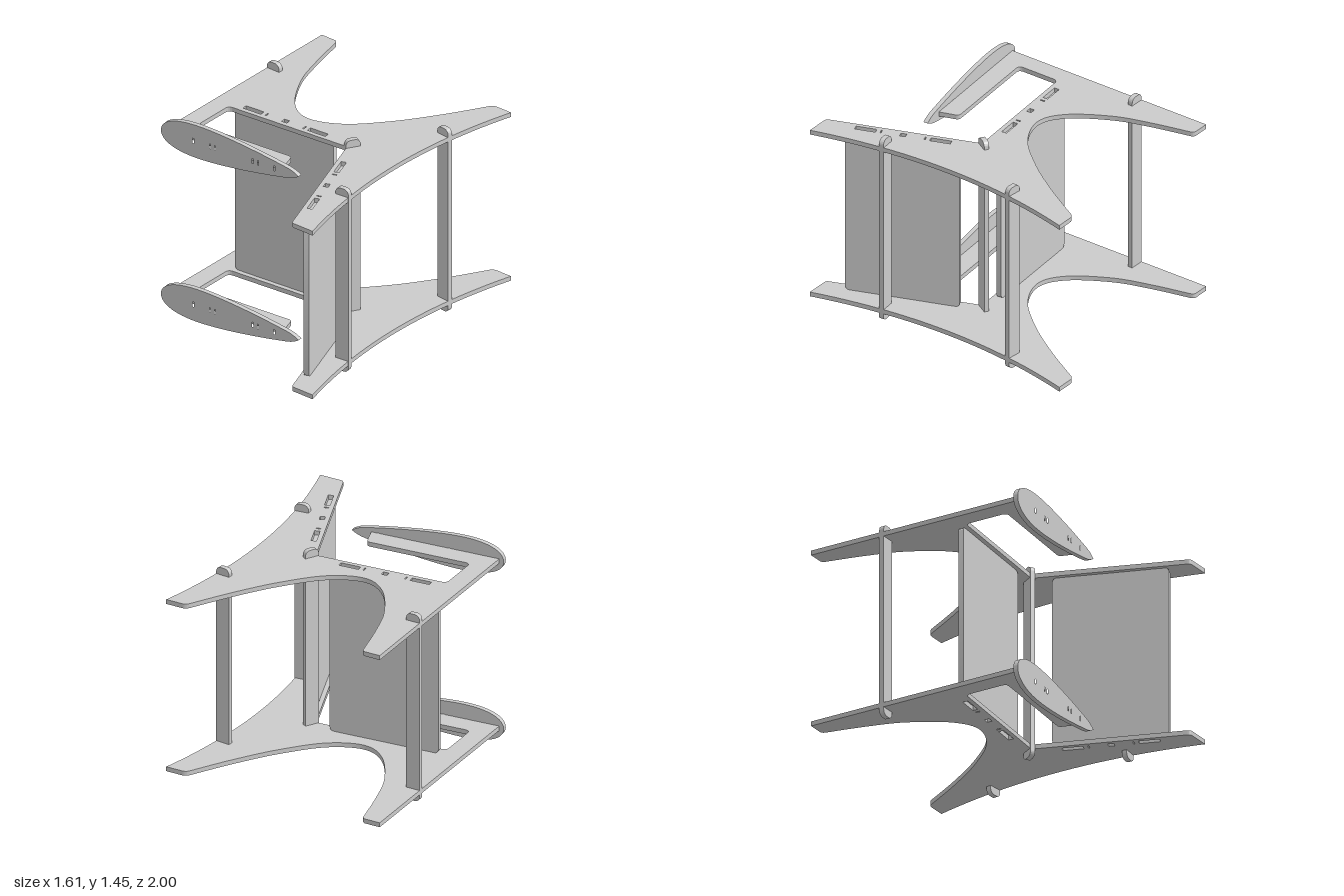
import * as THREE from 'three';
import { toCreasedNormals } from 'three/addons/utils/BufferGeometryUtils.js';

const T = 0.032; // board thickness
const MID = 0.73; // middle height
const material = new THREE.MeshStandardMaterial({ color: 0xcccccc });

// Extrude a shape, centred on its thickness
function board(shape, thickness = T) {
  const g = new THREE.ExtrudeGeometry(shape, { depth: thickness, bevelEnabled: false, curveSegments: 24 });
  g.translate(0, 0, -thickness / 2);
  return toCreasedNormals(g, 0.5);
}

function addPart(group, name, geometry, x, y, z, turn = 0) {
  const mesh = new THREE.Mesh(geometry, material);
  mesh.name = name;
  mesh.position.set(x, y, z);
  mesh.rotation.y = turn;
  group.add(mesh);
}

function roundedRect(w, h, r) {
  const s = new THREE.Shape();
  const a = w / 2 - r, b = h / 2 - r;
  s.absarc(a, b, r, 0, Math.PI / 2);
  s.absarc(-a, b, r, Math.PI / 2, Math.PI);
  s.absarc(-a, -b, r, Math.PI, Math.PI * 1.5);
  s.absarc(a, -b, r, Math.PI * 1.5, Math.PI * 2);
  s.closePath();
  return s;
}

// Rectangular hole of length l and width w, turned by an angle
function slot(x, y, l, w, angle = 0) {
  const c = Math.cos(angle), s = Math.sin(angle);
  const corners = [[-1, -1], [-1, 1], [1, 1], [1, -1]].map(([i, j]) => {
    const u = i * l / 2, v = j * w / 2;
    return new THREE.Vector2(x + u * c - v * s, y + u * s + v * c);
  });
  return new THREE.Path(corners);
}

// Joint slots along a panel's line: two long, one square, two narrow
function jointSlots(shape, x, y, angle) {
  const row = [[-0.252, 0.14, 0.036], [0.252, 0.14, 0.036], [0, 0.04, 0.034], [-0.148, 0.009, 0.032], [0.148, 0.009, 0.032]];
  for (const [d, l, w] of row) {
    shape.holes.push(slot(x + d * Math.cos(angle), y + d * Math.sin(angle), l, w, angle));
  }
}

// Side frame drawn in x and z, with legs, back post and arm support
function sideFrameShape() {
  const s = new THREE.Shape();
  const v = (x, y) => new THREE.Vector2(x, y);
  s.moveTo(-0.775, -1);
  s.lineTo(-0.67, -1);
  s.quadraticCurveTo(-0.645, -1, -0.639, -0.97);
  s.splineThru([v(-0.58, -0.71), v(-0.5, -0.46), v(-0.34, -0.205), v(-0.16, -0.11), v(0.07, -0.2), v(0.29, -0.43), v(0.48, -0.7), v(0.645, -0.975)]);
  s.quadraticCurveTo(0.66, -1, 0.69, -1);
  s.lineTo(0.805, -1);
  s.quadraticCurveTo(0.529, 0, 0.805, 1);
  s.lineTo(0.65, 1);
  s.quadraticCurveTo(0.63, 1, 0.622, 0.975);
  s.lineTo(0.285, 0.04);
  s.quadraticCurveTo(0.278, 0.013, 0.25, 0.016);
  s.lineTo(-0.61, 0.092);
  s.quadraticCurveTo(-0.645, 0.095, -0.645, 0.13);
  s.lineTo(-0.645, 0.365);
  s.quadraticCurveTo(-0.645, 0.403, -0.61, 0.4);
  s.lineTo(0.06, 0.342);
  s.quadraticCurveTo(0.084, 0.34, 0.092, 0.362);
  s.lineTo(0.127, 0.475);
  s.lineTo(-0.775, 0.555);
  s.closePath();
  jointSlots(s, -0.24, 0.01, -0.085);
  jointSlots(s, 0.495, 0.483, 1.227);
  return s;
}

// Teardrop armrest with narrow joint gaps
function armShape() {
  const s = new THREE.Shape();
  s.moveTo(-0.537, 0);
  s.bezierCurveTo(-0.537, 0.075, -0.43, 0.12, -0.25, 0.12);
  s.bezierCurveTo(-0.05, 0.12, 0.25, 0.075, 0.45, 0.037);
  s.quadraticCurveTo(0.5, 0.026, 0.537, 0);
  s.quadraticCurveTo(0.5, -0.026, 0.45, -0.037);
  s.bezierCurveTo(0.25, -0.075, -0.05, -0.12, -0.25, -0.12);
  s.bezierCurveTo(-0.43, -0.12, -0.537, -0.075, -0.537, 0);
  for (const u of [-0.285, -0.155, -0.115, 0.18, 0.22, 0.348]) s.holes.push(slot(u, 0, 0.009, 0.035));
  return s;
}

export function createModel() {
  const group = new THREE.Group();
  group.name = 'chair';

  // Two side frames, each with an armrest
  const frame = board(sideFrameShape());
  frame.rotateX(Math.PI / 2);
  const arm = board(armShape());
  for (const [side, sign] of [['lower', -1], ['upper', 1]]) {
    const y = MID + sign * 0.606;
    addPart(group, side + 'SideFrame', frame, 0, y, 0);
    addPart(group, side + 'Armrest', arm, -0.27, y, 0.523, 0.089);
  }

  // Backrest and seat panels between the frames
  const panel = board(roundedRect(0.77, 1.182, 0.03), 0.035);
  addPart(group, 'backrestPanel', panel, -0.24, MID, 0.01, 0.085);
  addPart(group, 'seatPanel', panel, 0.495, MID, 0.483, -1.227);

  // Cross bars passing through both frames
  const bar = board(roundedRect(0.1, 1.35, 0.036), 0.034);
  const bars = [
    ['backCrossBar', -0.725, -0.465, 0],
    ['rearLegCrossBar', 0.655, -0.512, -0.1],
    ['frontLegCrossBar', 0.655, 0.508, 0.1],
    ['centreCrossBar', 0.296, -0.015, 1.04],
  ];
  for (const [name, x, z, turn] of bars) addPart(group, name, bar, x, MID, z, turn);

  return group;
}
